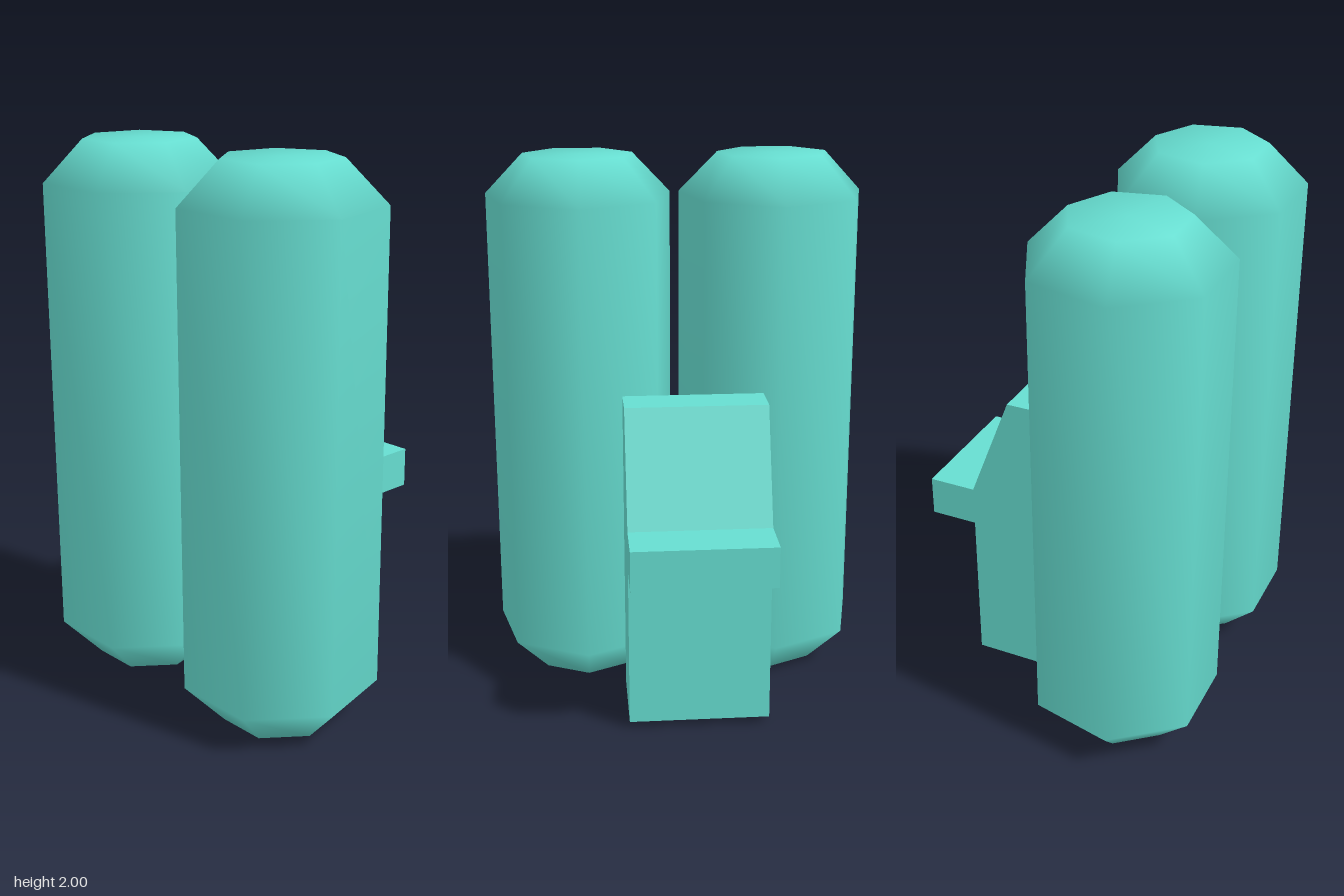
import * as THREE from 'three';

const material = new THREE.MeshStandardMaterial({ color: 0x66ddd0, side: THREE.DoubleSide });

// Seven-sided, smooth-shaded tank with bevelled ends; one corner points to the back
function createTank(name, x) {
  const profile = [[0, 0], [0.207, 0], [0.3525, 0.15], [0.3525, 1.85], [0.207, 2], [0, 2]]
    .map(([r, y]) => new THREE.Vector2(r, y));
  const tank = new THREE.Mesh(new THREE.LatheGeometry(profile, 7, Math.PI), material);
  tank.name = name;
  tank.position.set(x, 0, 0.2525);
  return tank;
}

// Removes the triangles lying flat at the lowest height, leaving the underside open
function openBottom(geometry) {
  const p = geometry.getAttribute('position');
  geometry.computeBoundingBox();
  const floor = geometry.boundingBox.min.y + 1e-4;
  const kept = [];
  for (let i = 0; i < p.count; i += 3) {
    if ([0, 1, 2].every((k) => p.getY(i + k) < floor)) continue;
    for (let k = 0; k < 3; k++) kept.push(i + k);
  }
  geometry.setIndex(kept);
  return geometry.toNonIndexed();
}

// Hollow back housing: sloped top and a projecting ledge, extruded across x
function createHousing() {
  // Profile as [distance behind centre, height]
  const outline = [
    [0.09, 0.025], [0.395, 0.025], [0.395, 0.62], [0.573, 0.62],
    [0.573, 0.77], [0.395, 0.77], [0.237, 1.175], [0.09, 1.175],
  ].map(([d, y]) => new THREE.Vector2(d, y));
  const geometry = new THREE.ExtrudeGeometry(new THREE.Shape(outline), {
    depth: 0.513, bevelEnabled: false,
  });
  geometry.rotateY(Math.PI / 2);
  geometry.translate(-0.293, 0, 0);
  const housing = new THREE.Mesh(openBottom(geometry), material);
  housing.name = 'backHousing';
  return housing;
}

export function createModel() {
  const model = new THREE.Group();
  model.name = 'twinTankPack';
  model.add(createTank('leftTank', 0.36), createTank('rightTank', -0.36), createHousing());
  return model;
}
